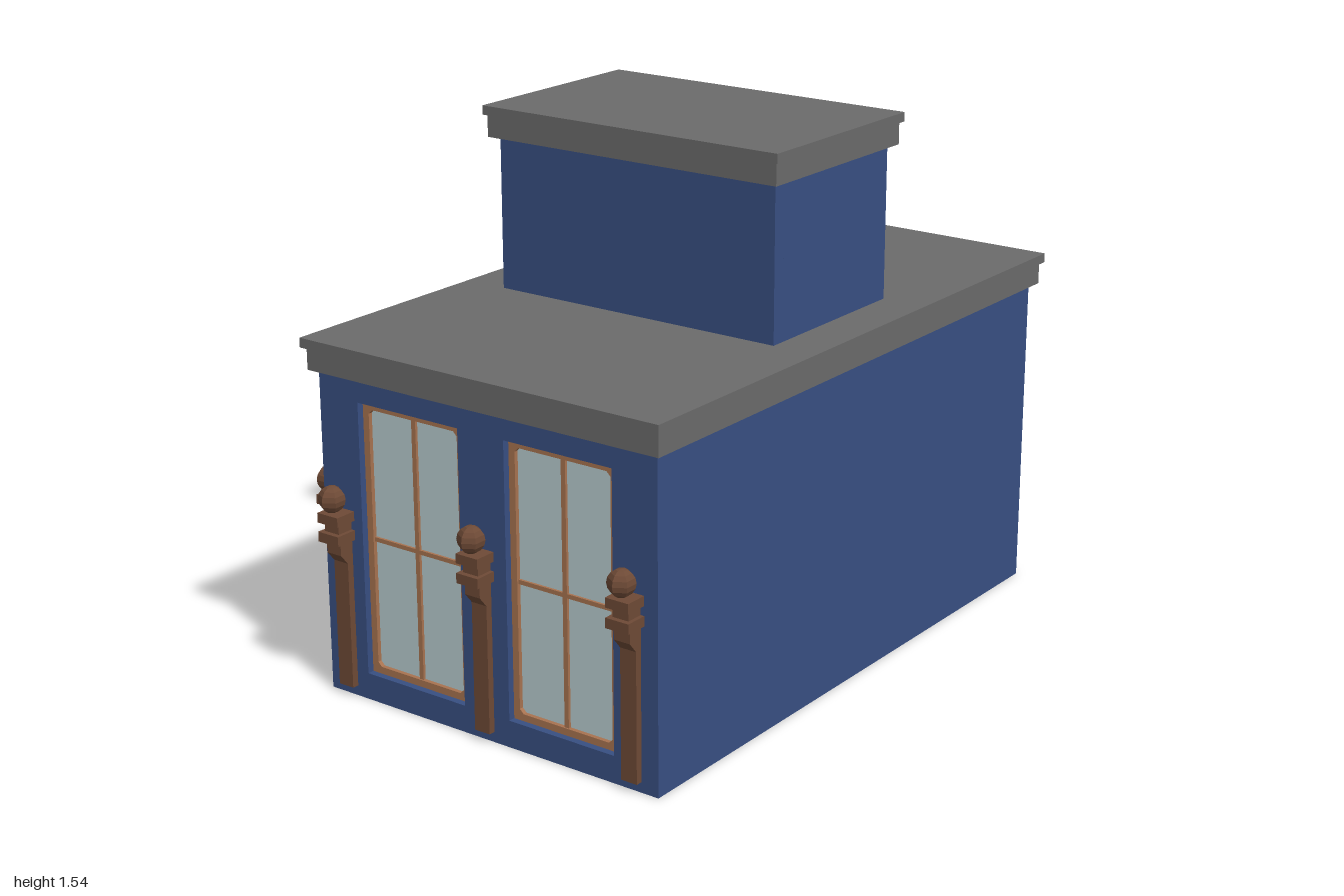
import * as THREE from 'three';

const mat = (name, color, extra = {}) => Object.assign(new THREE.MeshStandardMaterial({ color, ...extra }), { name });

export function createModel() {
  const blue = mat('blue wall', 0x384f82);
  const grey = mat('grey roof', 0x6b6b6b);
  const trim = mat('window wood', 0xa87350);
  const wood = mat('dark wood', 0x6e4a36, { flatShading: true });
  const glass = mat('pale glass', 0xb9cdd0);
  const green = mat('green mat', 0x5a9e38);

  const model = new THREE.Group();
  model.name = 'building';
  const T = 0.04; // wall thickness

  const add = (parent, name, geo, material, x = 0, y = 0, z = 0) => {
    const m = new THREE.Mesh(geo, material);
    m.name = name;
    m.position.set(x, y, z);
    parent.add(m);
    return m;
  };
  // box given by its limits
  const box = (parent, name, material, x0, x1, y0, y1, z0, z1) =>
    add(parent, name, new THREE.BoxGeometry(x1 - x0, y1 - y0, z1 - z0), material,
      (x0 + x1) / 2, (y0 + y1) / 2, (z0 + z1) / 2);
  const poly = (pts, Type = THREE.Shape) => new Type(pts.map(([x, y]) => new THREE.Vector2(x, y)));
  const rect = (x0, x1, y0, y1) => [[x0, y0], [x1, y0], [x1, y1], [x0, y1]];
  const cutRect = (x0, x1, y0, y1, c) => [[x0 + c, y0], [x1 - c, y0], [x1, y0 + c], [x1, y1 - c],
    [x1 - c, y1], [x0 + c, y1], [x0, y1 - c], [x0, y0 + c]];
  const extrude = (shape, depth) => new THREE.ExtrudeGeometry(shape, { depth, bevelEnabled: false });

  // recessed window: frame, glass, one upright and one cross bar
  function addWindow(parent, [x0, x1, y0, y1]) {
    const g = new THREE.Group();
    g.name = 'window';
    const f = 0.02, cx = (x0 + x1) / 2, cy = (y0 + y1) / 2;
    const s = poly(rect(x0, x1, y0, y1));
    s.holes.push(poly(cutRect(x0 + f, x1 - f, y0 + f, y1 - f, 0.012), THREE.Path));
    add(g, 'windowFrame', extrude(s, 0.025), trim, 0, 0, -0.045);
    box(g, 'windowGlass', glass, x0 + 0.01, x1 - 0.01, y0 + 0.01, y1 - 0.01, -0.038, -0.032);
    box(g, 'uprightBar', trim, cx - 0.007, cx + 0.007, y0 + f, y1 - f, -0.044, -0.024);
    box(g, 'crossBar', trim, x0 + f, x1 - f, cy - 0.006, cy + 0.006, -0.043, -0.025);
    parent.add(g);
  }

  // wall with its outer face at local z = 0
  function addWall(name, outline, windows, x, y, z, turn) {
    const g = new THREE.Group();
    g.name = name;
    const s = poly(outline);
    windows.forEach((w) => s.holes.push(poly(rect(...w), THREE.Path)));
    add(g, name + 'Panel', extrude(s, T), blue, 0, 0, -T);
    windows.forEach((w) => addWindow(g, w));
    g.position.set(x, y, z);
    g.rotation.y = turn;
    model.add(g);
    return g;
  }

  // ornamental post on a wall, facing local +z
  function addPost(parent, x) {
    const g = new THREE.Group();
    g.name = 'post';
    const side = poly([[0, 0.03], [0.02, 0.03], [0.02, 0.395], [0.045, 0.425], [0.045, 0.46], [0, 0.46]]);
    const shaft = add(g, 'postShaft', extrude(side, 0.05), wood, 0.025);
    shaft.rotation.y = -Math.PI / 2;
    box(g, 'lowerBand', wood, -0.036, 0.036, 0.46, 0.488, 0, 0.065);
    box(g, 'neck', wood, -0.025, 0.025, 0.488, 0.515, 0, 0.05);
    box(g, 'upperBand', wood, -0.036, 0.036, 0.515, 0.542, 0, 0.065);
    const ball = add(g, 'postBall', new THREE.SphereGeometry(0.038, 6, 8), wood, 0, 0.583, 0.045);
    ball.rotation.y = Math.PI / 2;
    g.position.x = x;
    parent.add(g);
  }

  // main storey walls
  const X0 = -0.52, X1 = 0.6, Z = 0.915, H = 0.925, DW = 0.185, DH = 0.43;
  const tall = (c) => [c - 0.173, c + 0.173, 0.077, 0.855];
  const cx = (X0 + X1) / 2, hw = (X1 - X0) / 2;
  for (const s of [1, -1]) {
    const wall = addWall(s > 0 ? 'frontWall' : 'backWall', rect(-hw, hw, 0, H),
      [-0.212, 0.287].map((x) => tall(s * (x - cx))), cx, 0, s * Z, s > 0 ? 0 : Math.PI);
    [-0.45, 0.037, 0.522].forEach((x) => addPost(wall, s * (x - cx)));
  }
  box(model, 'plainSideWall', blue, X1 - T, X1, 0, H, -Z + T, Z - T);

  // entrance side, with a notch for the door
  const L = Z - T;
  const entry = addWall('entranceWall',
    [[-L, 0], [-DW, 0], [-DW, DH], [DW, DH], [DW, 0], [L, 0], [L, H], [-L, H]],
    [tall(-0.6), tall(0.6), [-0.175, 0.175, 0.6, 0.855]], X0, 0, 0, -Math.PI / 2);
  [-0.845, -0.325, 0.325, 0.845].forEach((z) => addPost(entry, z));
  // the end faces of this wall sit inside the corners of the front and back walls
  box(entry, 'porchBeam', wood, -0.3, 0.3, 0.465, 0.515, 0, 0.03);
  box(entry, 'porchBeamCap', wood, -0.3, 0.3, 0.515, 0.542, 0, 0.045);
  box(entry, 'porchBeamFoot', wood, -0.3, 0.3, 0.46, 0.475, 0, 0.04);

  // door recess
  const D = 0.11;
  for (const s of [-1, 1]) {
    box(entry, 'recessSide', blue, s * DW - (s < 0 ? 0.012 : 0), s * DW + (s > 0 ? 0.012 : 0), 0, DH, -D, -T);
  }
  box(entry, 'recessTop', blue, -DW - 0.012, DW + 0.012, DH, DH + 0.012, -D, -T);
  box(entry, 'doorPanel', trim, -DW, DW, 0, DH, -D - 0.012, -D + 0.008);
  for (const s of [-1, 1]) {
    const c = s * DW / 2;
    const leaf = poly(rect(c - 0.088, c + 0.088, 0.04, 0.42));
    leaf.holes.push(poly(rect(c - 0.048, c + 0.048, 0.12, 0.385), THREE.Path));
    add(entry, 'doorLeaf', extrude(leaf, 0.01), trim, 0, 0, -D + 0.006);
    box(entry, 'doorGlass', glass, c - 0.05, c + 0.05, 0.118, 0.387, -D + 0.006, -D + 0.011);
  }

  // doorstep with a green mat
  const step = poly([[-0.18, 0.11], [-0.205, 0.085], [-0.205, 0.001], [-DW, 0.001], [-DW, -D],
    [DW, -D], [DW, 0.001], [0.205, 0.001], [0.205, 0.085], [0.18, 0.11]]);
  const slab = add(entry, 'doorstep', extrude(step, 0.01), grey, 0, 0.04, 0);
  slab.rotation.x = Math.PI / 2;
  box(entry, 'doorMat', green, -0.17, 0.17, 0.038, 0.043, -D + 0.02, 0.08);

  // tower
  const tx0 = -0.42, tx1 = 0.497, tz = 0.27, ty0 = 1.01, ty1 = 1.452;
  addWall('towerWindowWall', rect(-tz, tz, 0, ty1 - ty0), [[-0.17, 0.17, 0.11, 0.375]], tx0, ty0, 0, -Math.PI / 2);
  for (const s of [-1, 1]) {
    box(model, 'towerSideWall', blue, tx0 + T, tx1, ty0, ty1, s > 0 ? tz - T : -tz, s > 0 ? tz : -tz + T);
  }
  box(model, 'towerRearWall', blue, tx1 - T, tx1, ty0, ty1, -tz + T, tz - T);

  // stepped cornices and flat roofs
  box(model, 'mainCornice', grey, -0.54, 0.62, 0.922, 0.985, -0.937, 0.937);
  box(model, 'mainRoof', grey, -0.552, 0.63, 0.985, 1.012, -0.95, 0.95);
  box(model, 'towerCornice', grey, -0.443, 0.517, 1.447, 1.51, -0.296, 0.296);
  box(model, 'towerRoof', grey, -0.452, 0.527, 1.51, 1.536, -0.306, 0.306);

  return model;
}
